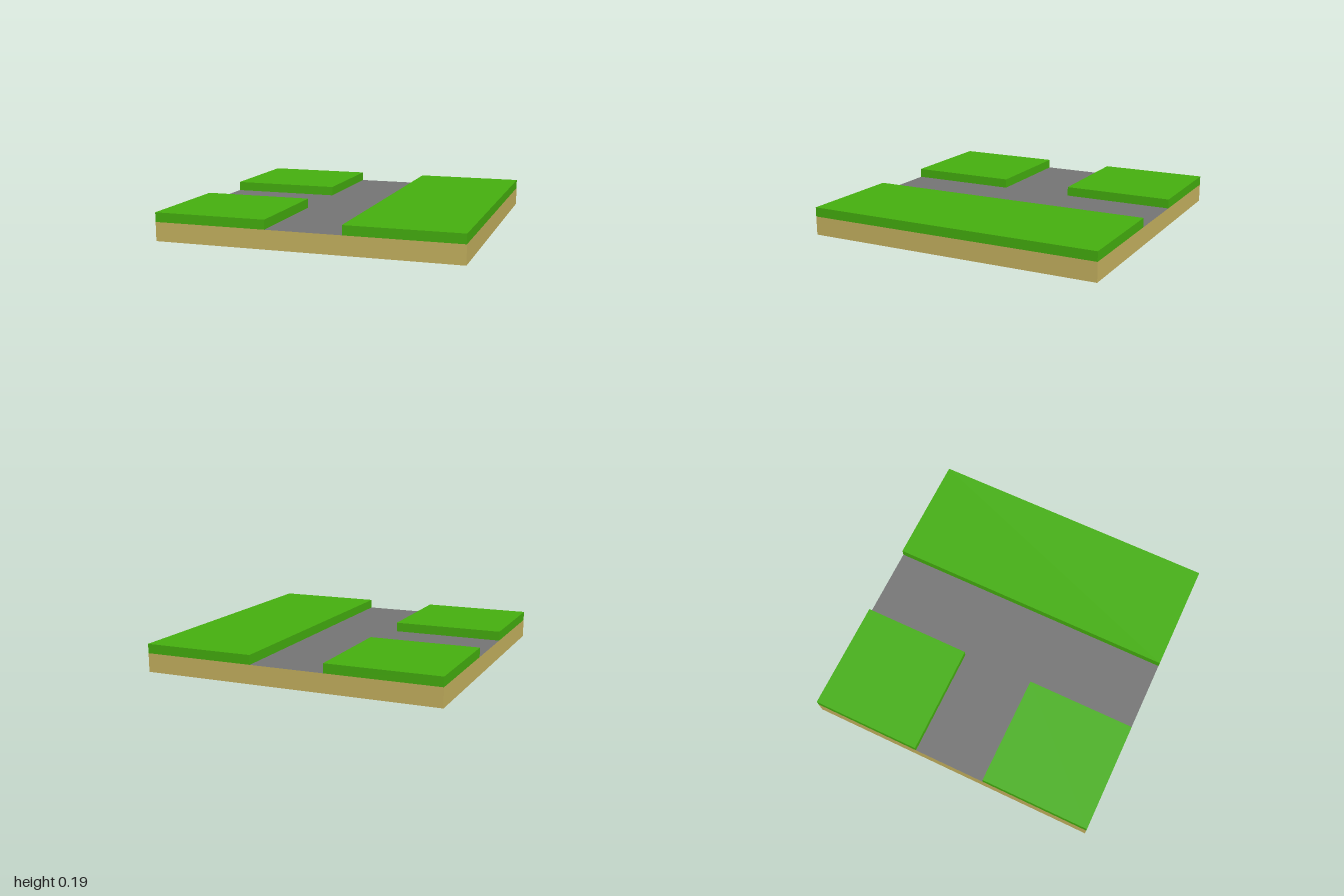
import * as THREE from 'three';

const BASE_TOP = 0.125;
const GRASS_TOP = 0.1875;
const ROAD_HALF = 0.25;

function material(name, color) {
  const m = new THREE.MeshStandardMaterial({ color });
  m.name = name;
  return m;
}

export function createModel() {
  const sand = material('sand', 0xc9b561);
  const grass = material('grass', 0x46b10f);
  const asphalt = material('asphalt', 0x767676);
  const underside = material('underside', 0x4a4f5d);

  const model = new THREE.Group();
  model.name = 'roadTile';

  // Box spanning x0..x1, y0..y1, z0..z1
  function slab(name, mat, x0, x1, y0, y1, z0, z1) {
    const mesh = new THREE.Mesh(new THREE.BoxGeometry(x1 - x0, y1 - y0, z1 - z0), mat);
    mesh.position.set((x0 + x1) / 2, (y0 + y1) / 2, (z0 + z1) / 2);
    mesh.name = name;
    model.add(mesh);
  }

  // Earth base: sandy sides, road surface on top, dark underside
  slab('baseWithRoad', [sand, sand, asphalt, underside, sand, sand], -1, 1, 0, BASE_TOP, -1, 1);

  // Raised lawns around the T-junction
  slab('longLawn', grass, ROAD_HALF, 1, BASE_TOP, GRASS_TOP, -1, 1);
  slab('backCornerLawn', grass, -1, -ROAD_HALF, BASE_TOP, GRASS_TOP, -1, -ROAD_HALF);
  slab('frontCornerLawn', grass, -1, -ROAD_HALF, BASE_TOP, GRASS_TOP, ROAD_HALF, 1);

  return model;
}
